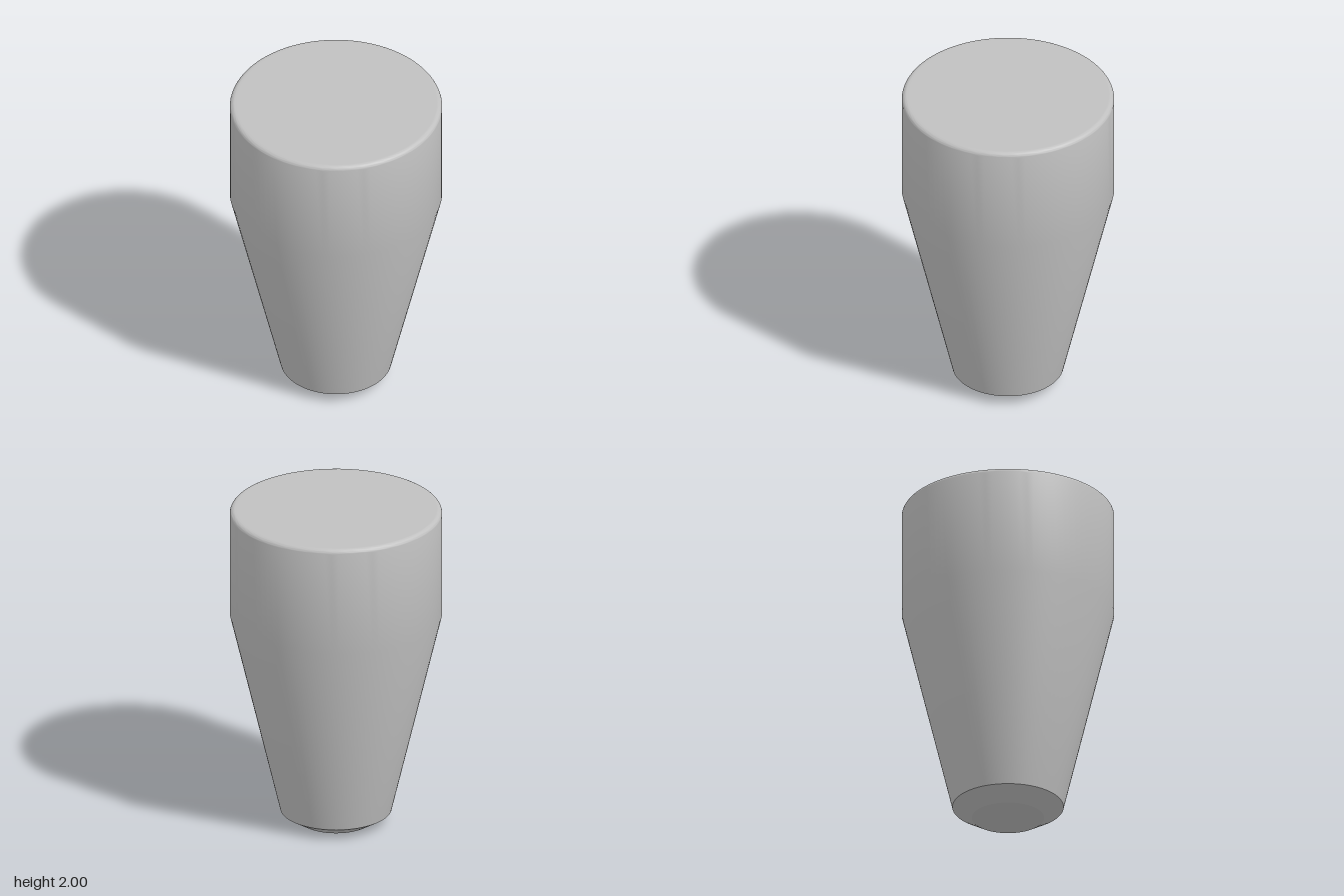
import * as THREE from 'three';
import { toCreasedNormals } from 'three/addons/utils/BufferGeometryUtils.js';

const RADIUS = 0.63, HEIGHT = 2, FILLET = 0.03;

export function createModel() {
  const group = new THREE.Group();
  group.name = 'taperedPeg';
  const grey = new THREE.MeshStandardMaterial({ color: 0xc0c0c0 });
  grey.name = 'plain grey';

  // Flat foot, chamfer, tapered shank and straight collar
  const profile = [
    [0, 0], [0.2, 0], [0.215, 0], [0.33, 0.07], [RADIUS, 1.33],
  ].map(([r, y]) => new THREE.Vector2(r, y));

  // Rounded top rim
  const steps = 8;
  for (let i = 0; i <= steps; i++) {
    const a = (i / steps) * Math.PI / 2;
    profile.push(new THREE.Vector2(
      RADIUS - FILLET + FILLET * Math.cos(a),
      HEIGHT - FILLET + FILLET * Math.sin(a)));
  }

  // Flat top, with a narrow ring that keeps its shading even
  profile.push(new THREE.Vector2(RADIUS - FILLET - 0.01, HEIGHT), new THREE.Vector2(0, HEIGHT));

  const body = new THREE.Mesh(toCreasedNormals(new THREE.LatheGeometry(profile, 96), 0.45), grey);
  body.name = 'body';
  group.add(body);
  return group;
}
